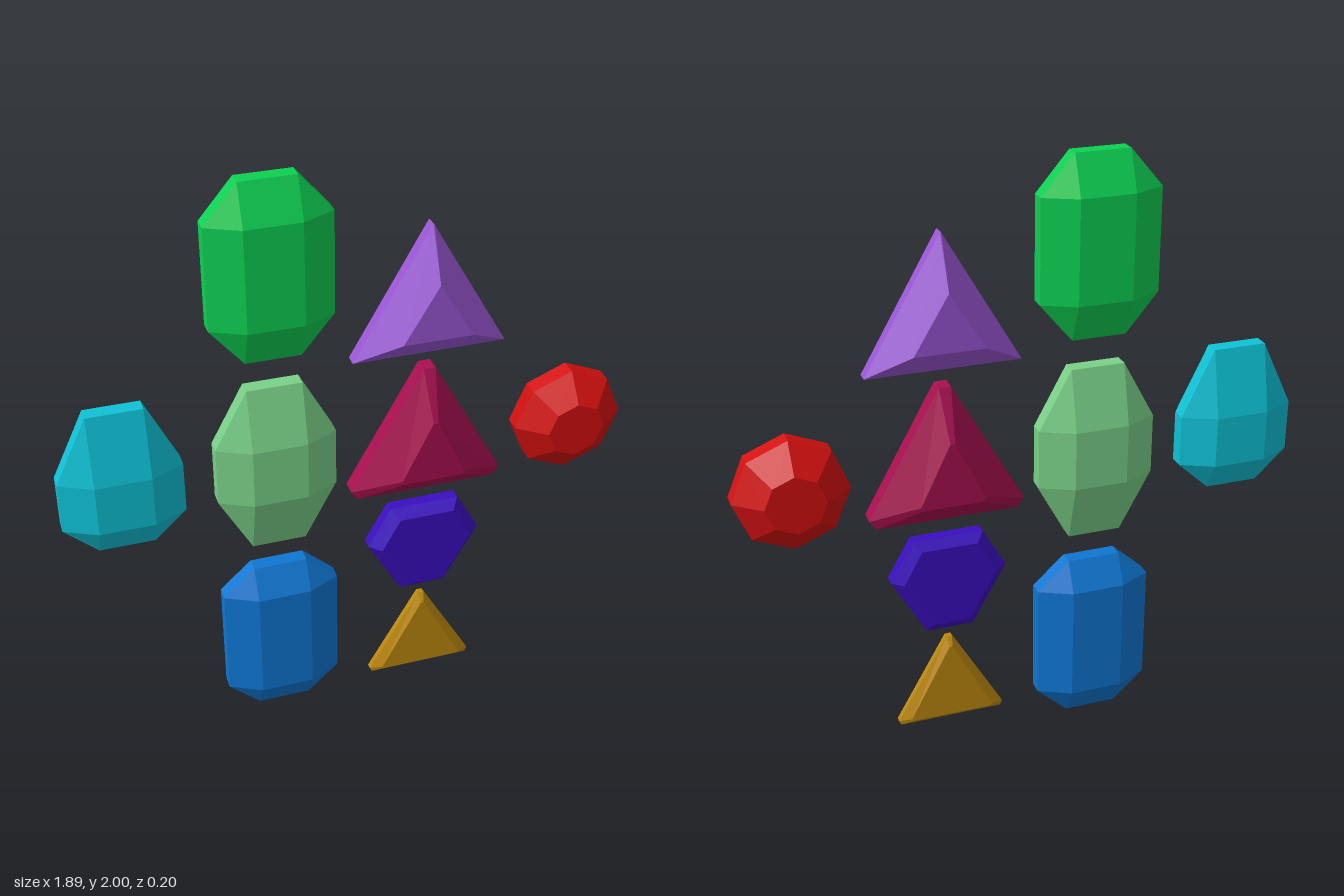
import * as THREE from 'three';

// Right half of an outline, listed bottom to top, mirrored into a closed counter-clockwise ring.
const mirror = (half) => [...half, ...half.slice().reverse().map(([x, y]) => [-x, y])];

// Cut stone: a flat table on the front and back, sloping facets and a narrow belt.
// z = [back table, belt back, belt front, front table]
function gemGeometry(outlineHalf, tableHalf, z) {
  const outline = mirror(outlineHalf), table = mirror(tableHalf);
  const rings = [table, outline, outline, table].map((ring, k) =>
    ring.map(([x, y]) => new THREE.Vector3(x, y, z[k])));
  const n = outline.length, pos = [];
  const tri = (a, b, c) => {
    const area = b.clone().sub(a).cross(c.clone().sub(a)).length();
    if (area > 1e-8) for (const p of [a, b, c]) pos.push(p.x, p.y, p.z);
  };
  for (let k = 0; k < 3; k++) {
    const a = rings[k], b = rings[k + 1];
    for (let i = 0; i < n; i++) {
      const j = (i + 1) % n;
      tri(a[i], a[j], b[j]);
      tri(a[i], b[j], b[i]);
    }
  }
  for (let i = 1; i < n - 1; i++) {
    tri(rings[3][0], rings[3][i], rings[3][i + 1]);
    tri(rings[0][0], rings[0][i + 1], rings[0][i]);
  }
  const g = new THREE.BufferGeometry();
  g.setAttribute('position', new THREE.Float32BufferAttribute(pos, 3));
  g.computeVertexNormals();
  return g;
}

export function createModel() {
  const group = new THREE.Group();
  const add = (name, colorName, color, x, outline, table, z) => {
    const material = new THREE.MeshStandardMaterial({ color, flatShading: true });
    material.name = colorName;
    const mesh = new THREE.Mesh(gemGeometry(outline, table, z), material);
    mesh.name = name;
    mesh.position.x = x;
    group.add(mesh);
  };

  // Emerald-cut stones: bottom, lower shoulder, upper shoulder, top heights
  const emeraldZ = [-0.103, -0.05, 0, 0.053];
  const emerald = (name, colorName, color, x, [y0, y1, y2, y3]) => add(name, colorName, color, x,
    [[0.09, y0], [0.198, y1], [0.198, y2], [0.09, y3]],
    [[0.09, y1], [0.09, y1], [0.09, y2], [0.09, y2]], emeraldZ);
  emerald('greenGem', 'green', 0x0cd052, -0.247, [1.403, 1.533, 1.873, 2]);
  emerald('paleGreenGem', 'pale green', 0x7ad188, -0.247, [0.7, 0.9, 1.103, 1.303]);
  emerald('blueGem', 'blue', 0x0e76d2, -0.247, [0, 0.1, 0.504, 0.603]);
  emerald('cyanGem', 'cyan', 0x0ec2d6, -0.747, [0.802, 0.902, 1.077, 1.303]);

  // Triangular stones
  add('purpleGem', 'purple', 0x9a56d6, 0.254,
    [[0.253, 1.352], [0.253, 1.354], [0.002, 1.79]],
    [[0.115, 1.435], [0.115, 1.435], [0, 1.625]], [-0.096, -0.02, 0.02, 0.098]);
  add('crimsonGem', 'crimson', 0xa80f50, 0.254,
    [[0.238, 0.833], [0.26, 0.865], [0.02, 1.294]],
    [[0.1, 0.912], [0.108, 0.925], [0.008, 1.13]], [-0.1, -0.027, 0.027, 0.1]);
  add('goldGem', 'gold', 0xbc880e, 0.254,
    [[0.178, 0.042], [0.186, 0.058], [0.01, 0.366]],
    [[0.14, 0.062], [0.145, 0.07], [0.005, 0.335]], [-0.025, -0.005, 0.015, 0.035]);

  // Hexagonal stone with three long and three short sides
  const hex = [[0.08, 0.414], [0.197, 0.62], [0.118, 0.76]];
  add('indigoGem', 'indigo', 0x3a0ec0, 0.254, hex,
    hex.map(([x, y]) => [x * 0.8, 0.592 + (y - 0.592) * 0.82]), [-0.043, -0.02, 0.02, 0.053]);

  // Round stone with eight sides
  const octagon = (r) => [0, 1, 2, 3, 4].map((i) => {
    const a = (i / 4 - 0.5) * Math.PI;
    return [r * Math.cos(a), 1.003 + r * Math.sin(a)];
  });
  add('redGem', 'red', 0xd41010, 0.754, octagon(0.188), octagon(0.098), [-0.103, -0.03, 0.027, 0.098]);

  return group;
}
